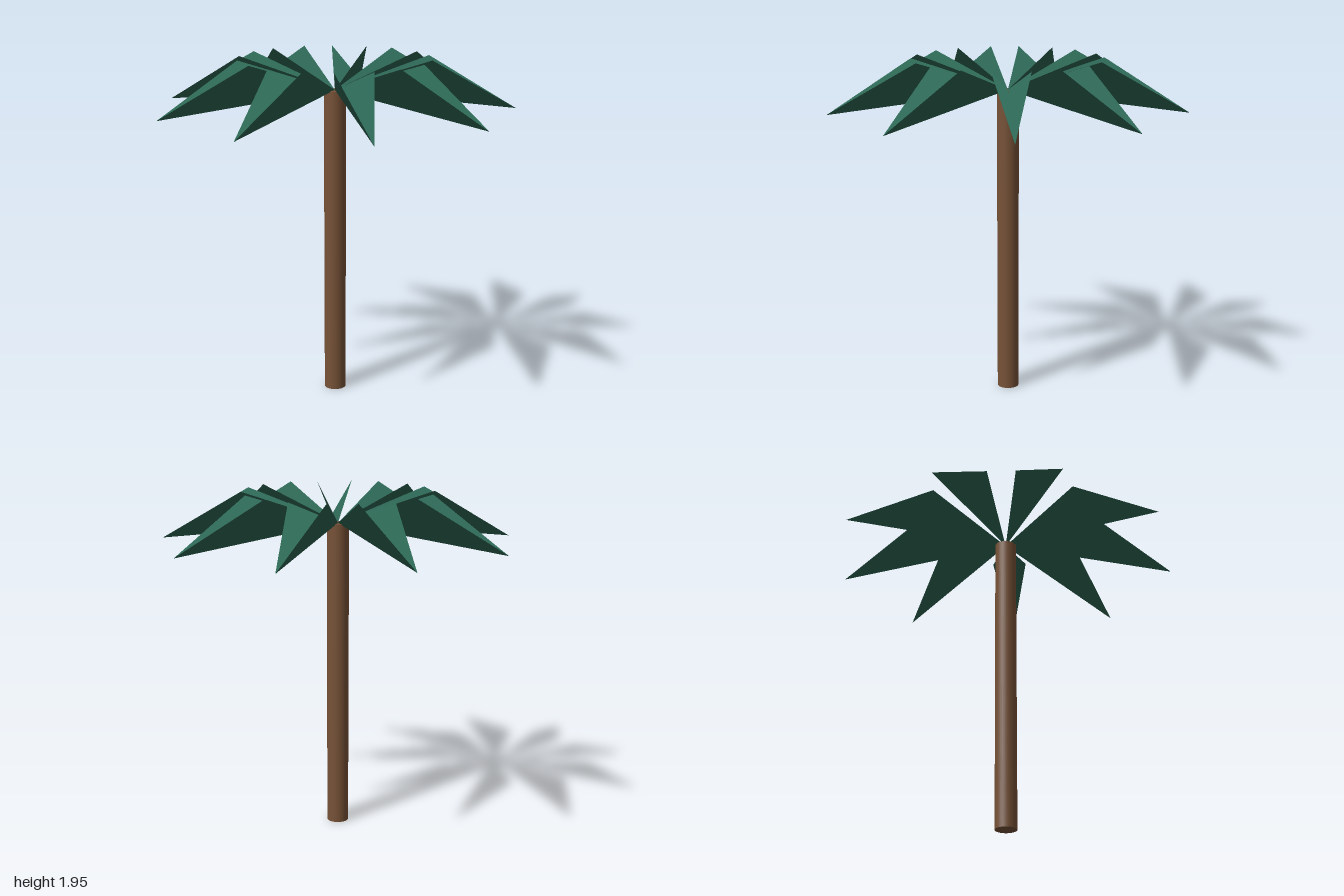
import * as THREE from 'three';

const AXIS_X = -0.03; // trunk axis, offset so the uneven crown is centred
const TRUNK_HEIGHT = 1.775;
const LEAVES = 9;

// One kite-shaped leaf along +x, folded along its midrib so both side corners stand up.
function leafGeometry() {
  const base = [0, 0, 0];
  const right = [0.53, 0.178, 0.105];
  const left = [0.53, 0.178, -0.105];
  const tip = [1.013, -0.105, 0];
  const geometry = new THREE.BufferGeometry();
  const corners = [base, right, tip, left];
  geometry.setAttribute('position', new THREE.Float32BufferAttribute(corners.flat(), 3));
  // The whole leaf shares one normal, square to the midrib, so the fold shades evenly
  const normal = new THREE.Vector3(-tip[1], tip[0], 0).normalize().toArray();
  geometry.setAttribute('normal',
    new THREE.Float32BufferAttribute(corners.flatMap(() => normal), 3));
  geometry.setIndex([0, 1, 2, 0, 2, 3]);
  return geometry;
}

export function createModel() {
  const palm = new THREE.Group();
  palm.name = 'palmTree';

  const bark = new THREE.MeshStandardMaterial({ color: 0x775237 });
  const green = new THREE.MeshStandardMaterial({ color: 0x2f6b58, side: THREE.DoubleSide });

  // Trunk
  const trunk = new THREE.Mesh(
    new THREE.CylinderGeometry(0.062, 0.062, TRUNK_HEIGHT, 32), bark);
  trunk.name = 'trunk';
  trunk.position.set(AXIS_X, TRUNK_HEIGHT / 2, 0);
  palm.add(trunk);

  // Crown of evenly spaced leaves
  const crown = new THREE.Group();
  crown.name = 'crown';
  crown.position.set(AXIS_X, TRUNK_HEIGHT, 0);
  const geometry = leafGeometry();
  for (let i = 0; i < LEAVES; i++) {
    const leaf = new THREE.Mesh(geometry, green);
    leaf.name = `leaf${i + 1}`;
    leaf.rotation.y = (i / LEAVES) * Math.PI * 2;
    crown.add(leaf);
  }
  palm.add(crown);

  return palm;
}
